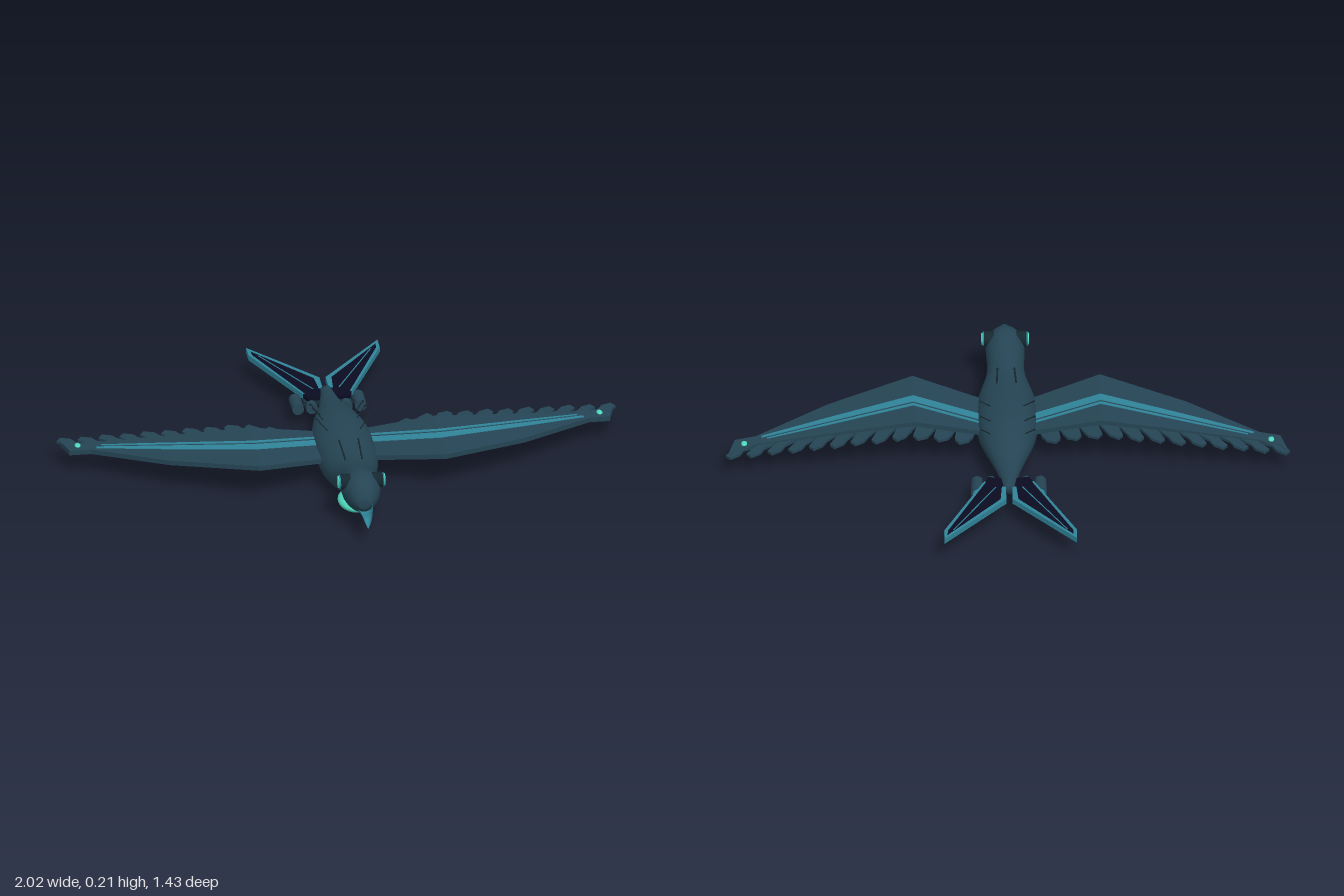
import * as THREE from 'three';

const mat = (name, color) => {
  const m = new THREE.MeshStandardMaterial({ color });
  m.name = name;
  return m;
};

// Skin a list of rings, each counter-clockwise when seen against the direction of travel
function loft(rings, smooth) {
  const n = rings[0].length, pos = [], idx = [];
  rings.forEach(r => r.forEach(p => pos.push(...p)));
  for (let i = 0; i < rings.length - 1; i++) {
    for (let j = 0; j < n; j++) {
      const a = i * n + j, b = i * n + (j + 1) % n;
      idx.push(a, a + n, b, b, a + n, b + n);
    }
  }
  const last = (rings.length - 1) * n;
  for (let j = 1; j < n - 1; j++) {
    idx.push(0, j, j + 1, last, last + j + 1, last + j);
  }
  let g = new THREE.BufferGeometry();
  g.setAttribute('position', new THREE.Float32BufferAttribute(pos, 3));
  g.setIndex(idx);
  if (!smooth) g = g.toNonIndexed();
  g.computeVertexNormals();
  return g;
}

// Elliptical ring, tilted about the x axis
function ellipse(y, z, w, h, tilt = 0, n = 28) {
  return Array.from({ length: n }, (_, i) => {
    const a = i / n * Math.PI * 2, s = h * Math.sin(a);
    return [w * Math.cos(a), y + s * Math.cos(tilt), z + s * Math.sin(tilt)];
  });
}

// Flat plate from an outline in x and z
function plate(points, y, t) {
  const shape = new THREE.Shape(points.map(([x, z]) => new THREE.Vector2(x, -z)));
  const g = new THREE.ExtrudeGeometry(shape, { depth: t, bevelEnabled: false });
  return g.rotateX(-Math.PI / 2).translate(0, y - t / 2, 0);
}

// Height of the wing along its span
function wingY(x) {
  return x < 0.335 ? 0.098 + (x - 0.05) * 0.147 : 0.14 - (x - 0.335) * 0.09;
}

// Slab following the wing; stations are [x, leading z, trailing z]
function wingSlab(stations, t, lift = 0) {
  return loft(stations.map(([x, a, b]) => {
    const y = wingY(x) + lift;
    return [[x, y - t / 2, a], [x, y + t / 2, a], [x, y + t / 2, b], [x, y - t / 2, b]];
  }), false);
}

export function createModel() {
  const model = new THREE.Group();
  model.name = 'bird';
  const slate = mat('slate plumage', 0x254454);
  const teal = mat('teal trim', 0x2f8398);
  const navy = mat('dark navy', 0x0b0b22);
  const mint = mat('mint glow', 0x50d9bf);
  const dark = mat('dark metal', 0x16272f);

  const add = (parent, name, geometry, material) => {
    const m = new THREE.Mesh(geometry, material);
    m.name = name;
    parent.add(m);
    return m;
  };
  const rod = (parent, name, a, b, r, material) => {
    const line = new THREE.LineCurve3(new THREE.Vector3(...a), new THREE.Vector3(...b));
    return add(parent, name, new THREE.TubeGeometry(line, 1, r, 6), material);
  };

  // Body, neck and head: z, top, bottom, half width
  const profile = [
    [0.632, 0.145, 0.105, 0.022], [0.61, 0.178, 0.085, 0.043], [0.575, 0.203, 0.067, 0.06],
    [0.54, 0.211, 0.062, 0.069], [0.49, 0.204, 0.06, 0.069], [0.43, 0.186, 0.048, 0.066],
    [0.37, 0.172, 0.033, 0.072], [0.31, 0.166, 0.018, 0.088], [0.24, 0.168, 0.008, 0.103],
    [0.12, 0.173, 0.007, 0.109], [0.0, 0.171, 0.011, 0.104], [-0.1, 0.157, 0.034, 0.082],
    [-0.2, 0.13, 0.053, 0.052], [-0.28, 0.118, 0.064, 0.033], [-0.362, 0.11, 0.071, 0.021]];
  const zTop = new THREE.CatmullRomCurve3(profile.map(p => new THREE.Vector3(p[1], p[2], p[0])));
  const width = new THREE.CatmullRomCurve3(profile.map(p => new THREE.Vector3(p[3], 0, p[0])));
  const rings = [];
  for (let i = 0; i <= 56; i++) {
    const p = zTop.getPoint(i / 56), w = width.getPoint(i / 56).x;
    rings.push(ellipse((p.x + p.y) / 2, p.z, w, (p.x - p.y) / 2));
  }
  add(model, 'body', loft(rings, true), slate);

  // Hooked beak
  const beak = [[0.12, 0.61, 0.03, 0.036, 0], [0.121, 0.64, 0.027, 0.034, -0.1],
    [0.118, 0.67, 0.023, 0.028, -0.4], [0.107, 0.695, 0.017, 0.021, -0.8],
    [0.09, 0.708, 0.011, 0.013, -1.15], [0.07, 0.714, 0.002, 0.003, -1.4]];
  // Ring tops lean forward as the beak turns downwards
  add(model, 'beak', loft(beak.map(b => ellipse(b[0], b[1], b[2], b[3], -b[4], 16)), true), teal);

  // Glowing pod below the throat
  const pod = add(model, 'throatPod', new THREE.SphereGeometry(1, 28, 18), mint);
  pod.scale.set(0.066, 0.028, 0.09);
  pod.position.set(0, 0.032, 0.405);

  for (const side of [1, -1]) {
    const half = new THREE.Group();
    half.name = side > 0 ? 'leftHalf' : 'rightHalf';
    half.scale.x = side;
    model.add(half);

    // Eye
    const disc = (name, r, x0, x1, m) => add(half, name,
      new THREE.CylinderGeometry(r, r, x1 - x0, 24).rotateZ(Math.PI / 2)
        .translate((x0 + x1) / 2, 0.172, 0.535), m);
    disc('eyeSocket', 0.028, 0.04, 0.076, dark);
    disc('eyeRing', 0.026, 0.05, 0.081, teal);
    disc('eye', 0.022, 0.05, 0.085, mint);

    // Wing
    const wing = new THREE.Group();
    wing.name = 'wing';
    half.add(wing);
    add(wing, 'wingPanel', wingSlab([[0.04, 0.205, 0.0], [0.335, 0.325, 0.01], [0.64, 0.18, -0.02],
      [0.9, 0.005, -0.05], [0.975, -0.008, -0.075], [0.998, -0.09, -0.112]], 0.018), slate);
    add(wing, 'wideStripe', wingSlab([[0.09, 0.115, 0.075], [0.335, 0.19, 0.148],
      [0.64, 0.088, 0.06], [0.88, 0.002, -0.01]], 0.022), teal);
    add(wing, 'narrowStripe', wingSlab([[0.09, 0.063, 0.05], [0.335, 0.137, 0.122],
      [0.64, 0.05, 0.038], [0.86, -0.014, -0.02]], 0.006, 0.0085), teal);

    // Overlapping flight feathers, fanning outwards to the tip
    for (let i = 0; i < 12; i++) {
      const f = i / 11, x = 0.15 + 0.76 * f, tipX = x + 0.015 + 0.06 * f;
      const tipZ = -0.05 - 0.075 * f, rootZ = 0.06 - 0.09 * f;
      const g = plate([[x - 0.04, rootZ], [x + 0.03, rootZ], [tipX + 0.024, tipZ + 0.022],
        [tipX + 0.008, tipZ], [tipX - 0.026, tipZ + 0.02], [tipX - 0.042, tipZ + 0.05]], 0, 0.01);
      const p = g.attributes.position;
      for (let k = 0; k < p.count; k++) {
        const drop = (1 - f) * 0.018 + 0.05 * Math.max(0, rootZ - p.getZ(k)) * (1 - f);
        p.setY(k, p.getY(k) + wingY(p.getX(k)) - drop + (i % 2) * 0.002);
      }
      g.computeVertexNormals();
      add(wing, 'flightFeather', g, slate);
    }
    const light = add(wing, 'wingLight', new THREE.SphereGeometry(1, 14, 10), mint);
    light.scale.set(0.011, 0.007, 0.017);
    light.position.set(0.942, wingY(0.942) + 0.009, -0.04);

    // Forked tail with teal edging
    add(half, 'tailBlade', plate([[0.012, -0.3], [0.075, -0.29], [0.09, -0.33], [0.232, -0.66],
      [0.235, -0.712], [0.026, -0.45], [0.012, -0.44]], 0.092, 0.016), navy);
    add(half, 'tailInnerEdge', plate([[0.012, -0.36], [0.026, -0.36], [0.032, -0.445],
      [0.228, -0.69], [0.237, -0.715], [0.022, -0.457], [0.011, -0.445]], 0.092, 0.02), teal);
    add(half, 'tailOuterEdge', plate([[0.082, -0.325], [0.09, -0.325], [0.237, -0.655],
      [0.237, -0.715], [0.226, -0.695], [0.224, -0.655]], 0.092, 0.02), teal);
    add(half, 'tailRib', plate([[0.045, -0.36], [0.05, -0.36], [0.205, -0.65],
      [0.201, -0.65]], 0.092, 0.019), teal);

    // Folded feet as paired canisters
    for (const x of [0.063, 0.113]) {
      add(half, 'foot', new THREE.CylinderGeometry(0.021, 0.023, 0.085, 16).rotateX(Math.PI / 2)
        .translate(x, 0.068, -0.308), slate);
      add(half, 'footCap', new THREE.CylinderGeometry(0.017, 0.017, 0.008, 16).rotateX(Math.PI / 2)
        .translate(x, 0.068, -0.354), teal);
    }
    rod(half, 'footStrut', [0.015, 0.08, -0.29], [0.113, 0.07, -0.29], 0.01, dark);

    // Fine bristles on the back
    for (const [z, y] of [[0.1, 0.165], [0.005, 0.16], [-0.06, 0.145]]) {
      rod(half, 'bristle', [0.055, y - 0.01, z], [0.095, y + 0.03, z - 0.03], 0.002, dark);
      add(half, 'bristleTip', new THREE.SphereGeometry(0.004, 8, 6)
        .translate(0.095, y + 0.03, z - 0.03), dark);
    }
    rod(half, 'backSeam', [0.03, 0.163, 0.35], [0.035, 0.179, 0.215], 0.003, dark);
  }
  return model;
}
